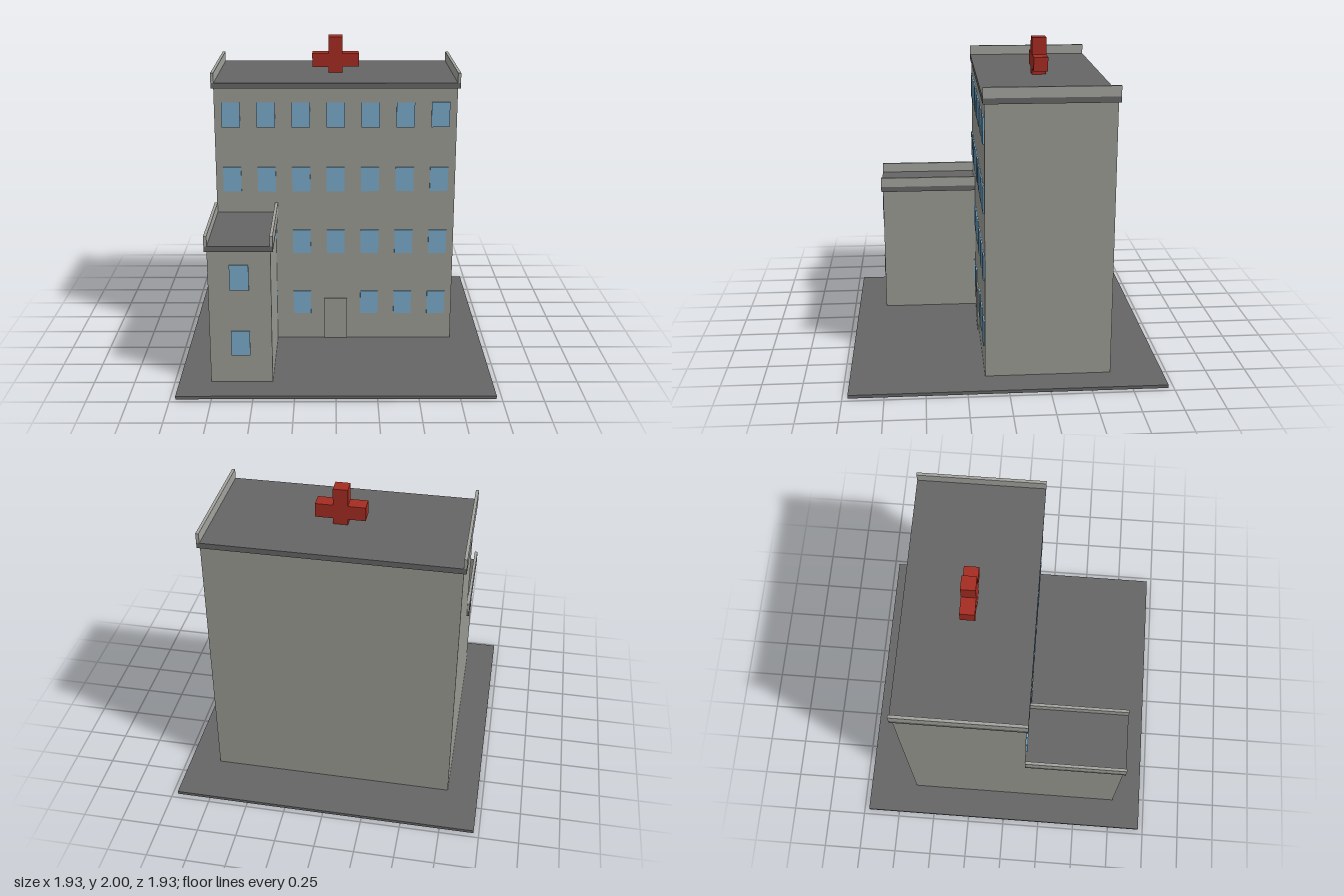
import * as THREE from 'three';

const mat = (name, color) => new THREE.MeshStandardMaterial({ name, color });

export function createModel() {
  const wall = mat('wall grey', 0x9a9a93);
  const dark = mat('dark grey', 0x666666);
  const trim = mat('parapet grey', 0xa3a39e);
  const glass = mat('window blue', 0x78a9c9);
  const red = mat('cross red', 0xa52c22);

  const model = new THREE.Group();
  model.name = 'hospital';

  // Box given by its extents on each axis
  const box = (name, material, [x0, x1], [y0, y1], [z0, z1]) => {
    const mesh = new THREE.Mesh(new THREE.BoxGeometry(x1 - x0, y1 - y0, z1 - z0), material);
    mesh.position.set((x0 + x1) / 2, (y0 + y1) / 2, (z0 + z1) / 2);
    mesh.name = name;
    model.add(mesh);
  };

  // Ground slab
  box('groundSlab', dark, [-0.967, 0.967], [0, 0.02], [-0.967, 0.967]);

  // Main block and front wing
  box('mainBlock', wall, [-0.77, 0.77], [0.02, 1.73], [-0.643, 0.135]);
  box('frontWing', wall, [-0.77, -0.39], [0.02, 0.877], [0.135, 0.775]);

  // Roof slab with a parapet along each side edge
  const roof = (name, x0, x1, y, z0, z1) => {
    box(name + 'Roof', dark, [x0, x1], [y, y + 0.035], [z0, z1]);
    for (const [side, a] of [['Right', x0], ['Left', x1 - 0.019]])
      box(name + 'Parapet' + side, trim, [a, a + 0.019], [y + 0.035, y + 0.098], [z0, z1]);
  };
  roof('main', -0.786, 0.786, 1.73, -0.656, 0.145);
  roof('wing', -0.786, -0.375, 0.877, 0.135, 0.787);

  // Windows: seven columns by four floors, leaving out the doorway
  const windowPane = (x, y, z) =>
    box('window', glass, [x - 0.058, x + 0.058], [y - 0.08, y + 0.08], [z, z + 0.009]);
  const floors = [0.28, 0.71, 1.135, 1.56];
  floors.forEach((y, floor) => {
    for (let col = 0; col < 7; col++) {
      const hidden = floor < 2 && col === 0;
      const doorway = floor === 0 && col === 3;
      if (!hidden && !doorway) windowPane(-0.666 + col * 0.222, y, 0.135);
    }
    if (floor < 2) windowPane(-0.582, y, 0.775);
  });

  // Door
  box('door', wall, [-0.077, 0.077], [0.02, 0.307], [0.135, 0.145]);

  // Rooftop cross
  box('crossPost', red, [-0.045, 0.045], [1.765, 2], [-0.303, -0.212]);
  for (const [name, x] of [['crossArmRight', [-0.153, -0.045]], ['crossArmLeft', [0.045, 0.153]]])
    box(name, red, x, [1.803, 1.892], [-0.303, -0.212]);

  return model;
}
